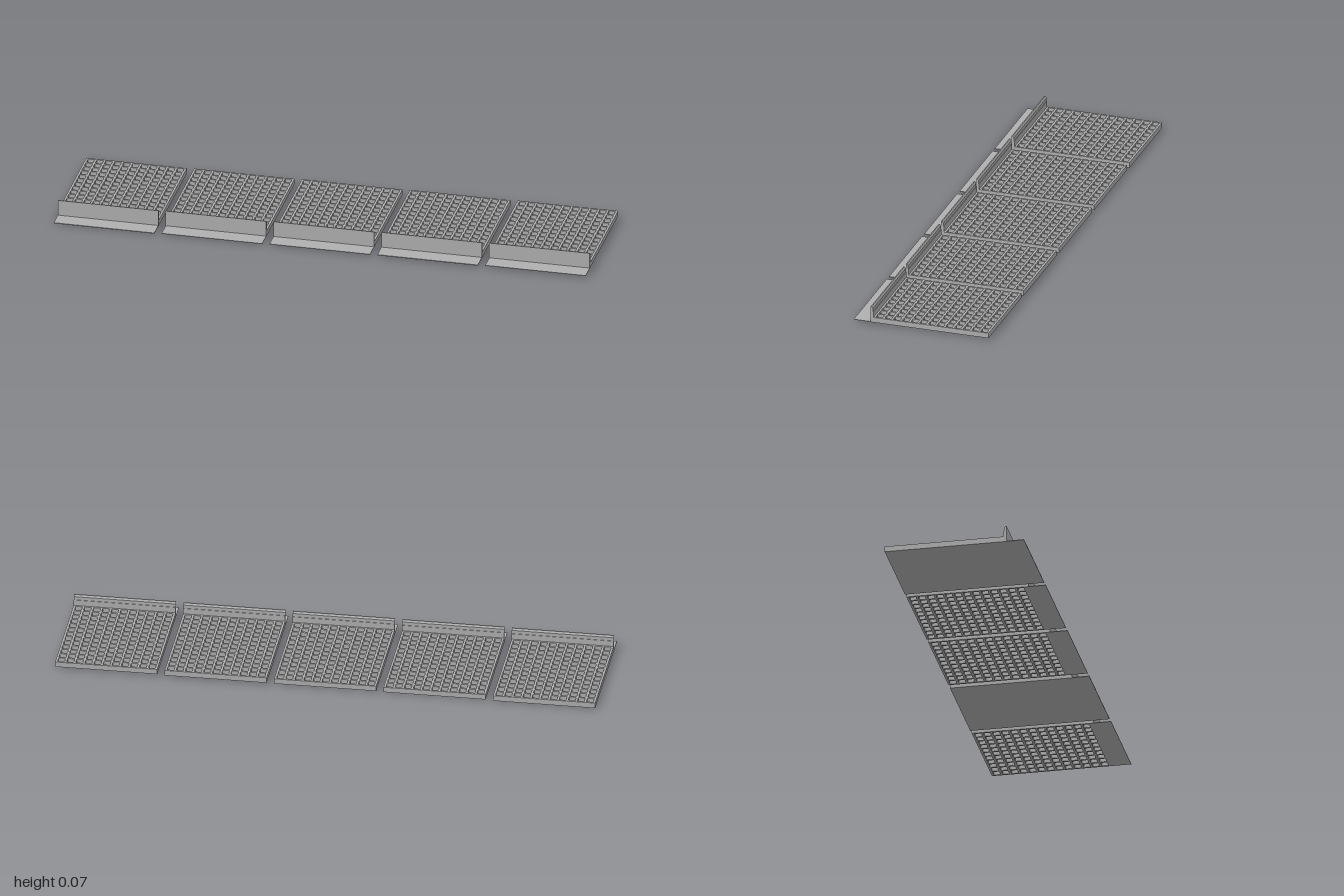
import * as THREE from 'three';

const WIDTH = 0.378;         // one panel, along x
const PITCH = 0.4055;        // spacing between panels
const BACK = -0.26, WALL = 0.185, FRONT = 0.26;
const COLS = 11, ROWS = 13, BAR = 0.008;
const BASE = 0.001, GRID_TOP = 0.0208;

// Rectangular outline, optionally as a hole path
function rect(path, x, y, w, h) {
  path.moveTo(x, y);
  path.lineTo(x + w, y);
  path.lineTo(x + w, y + h);
  path.lineTo(x, y + h);
  path.closePath();
  return path;
}

// Grating: plate pierced by a regular array of square holes
function gratingGeometry() {
  const depth = WALL - BACK;
  const px = (WIDTH - BAR) / COLS, pz = (depth - BAR) / ROWS;
  const shape = rect(new THREE.Shape(), -WIDTH / 2, -WALL, WIDTH, depth);
  for (let i = 0; i < COLS; i++) {
    for (let j = 0; j < ROWS; j++) {
      shape.holes.push(rect(new THREE.Path(),
        -WIDTH / 2 + BAR + i * px, -WALL + BAR + j * pz, px - BAR, pz - BAR));
    }
  }
  const geo = new THREE.ExtrudeGeometry(shape, { depth: GRID_TOP - BASE, bevelEnabled: false });
  return geo.rotateX(-Math.PI / 2).translate(0, BASE, 0);
}

// Upright wall and front lip, one profile in (z, y) drawn out along x
function edgeGeometry() {
  const profile = [
    [WALL - 0.001, BASE], [FRONT, BASE], [FRONT, 0.003], [0.195, 0.003],
    [0.195, 0.0628], [0.191, 0.0628], [0.186, 0.056], [0.186, 0.043],
    [0.184, 0.043],
  ].map(([z, y]) => new THREE.Vector2(z, y));
  const geo = new THREE.ExtrudeGeometry(new THREE.Shape(profile), { depth: WIDTH, bevelEnabled: false });
  return geo.rotateY(-Math.PI / 2).translate(WIDTH / 2, 0, 0);
}

export function createModel() {
  const model = new THREE.Group();
  model.name = 'gratingPanels';
  const grey = new THREE.MeshStandardMaterial({ color: 0xb0b0b0 });
  grey.name = 'light grey';

  const grating = gratingGeometry();
  const edge = edgeGeometry();
  const floor = new THREE.BoxGeometry(WIDTH, 0.0015, FRONT - BACK).translate(0, 0.00075, 0);

  const add = (group, name, geo) => {
    const mesh = new THREE.Mesh(geo, grey);
    mesh.name = name;
    group.add(mesh);
  };

  // Five panels in a row, each a hair higher than the last; two have closed floors
  [true, false, false, true, false].forEach((closed, i) => {
    const panel = new THREE.Group();
    panel.name = `panel${i + 1}`;
    add(panel, 'grating', grating);
    add(panel, 'wallAndLip', edge);
    if (closed) add(panel, 'floor', floor);
    panel.position.set((i - 2) * PITCH, i * 0.0018, 0);
    model.add(panel);
  });
  return model;
}
